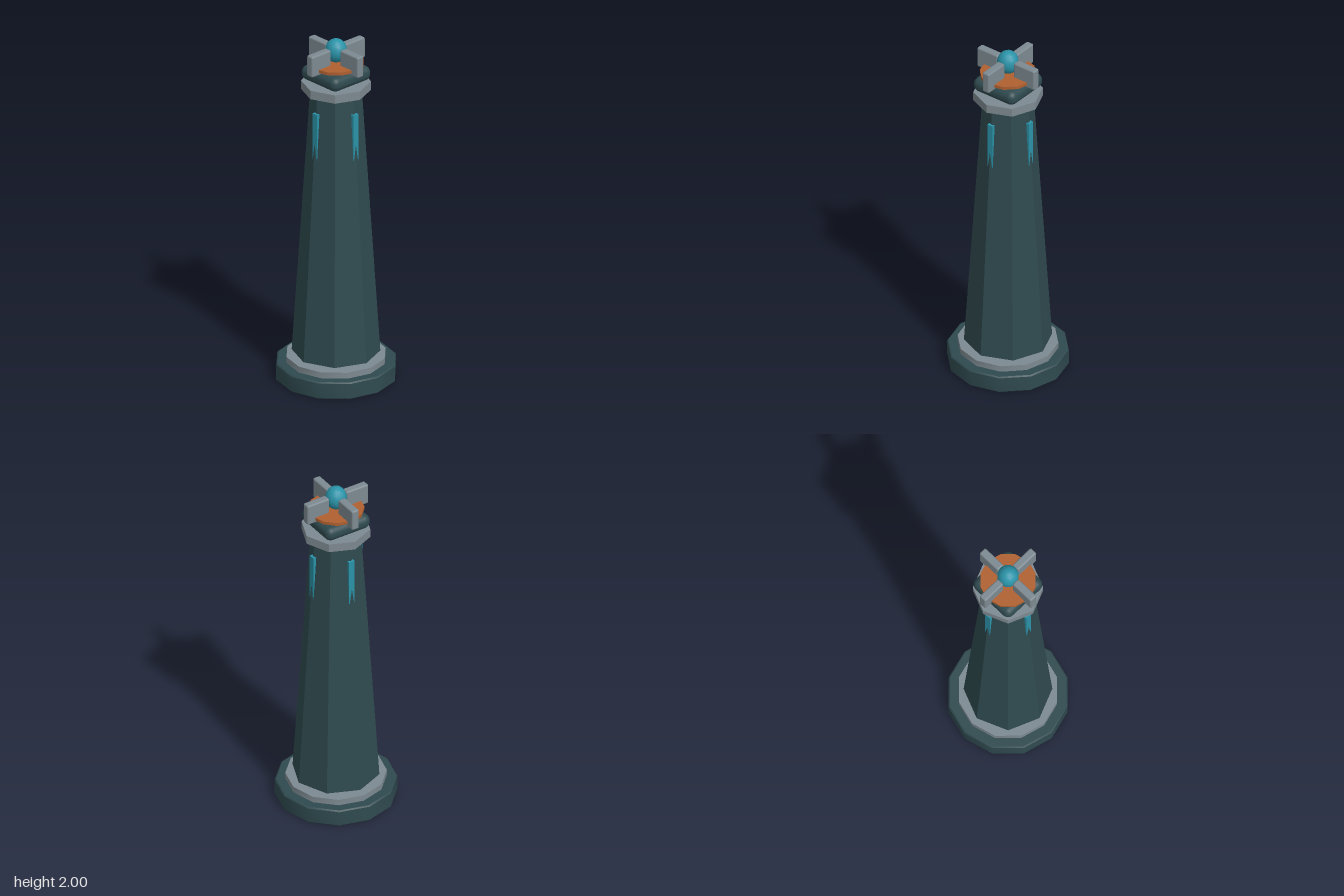
import * as THREE from 'three';
import { toCreasedNormals } from 'three/addons/utils/BufferGeometryUtils.js';
import { RoundedBoxGeometry } from 'three/addons/geometries/RoundedBoxGeometry.js';

const stone = new THREE.MeshStandardMaterial({ color: 0x2f4a4f });
const steel = new THREE.MeshStandardMaterial({ color: 0x7d8a91 });
const copper = new THREE.MeshStandardMaterial({ color: 0xb06030 });
const crystal = new THREE.MeshStandardMaterial({ color: 0x2a93a8 });

export function createModel() {
  const model = new THREE.Group();
  model.name = 'obeliskTower';

  const add = (name, geometry, material, x, y, z, parent = model) => {
    const mesh = new THREE.Mesh(geometry, material);
    mesh.name = name;
    mesh.position.set(x, y, z);
    parent.add(mesh);
    return mesh;
  };

  // Many-sided drum standing between two heights; sharp corners above the crease angle
  const drum = (name, rTop, rBottom, y0, y1, sides, material, crease = 0.6) => {
    const g = new THREE.CylinderGeometry(rTop, rBottom, y1 - y0, sides);
    return add(name, toCreasedNormals(g, crease), material, 0, (y0 + y1) / 2, 0);
  };

  // Plinth with slightly eased rims
  const profile = [[0, 0], [0.325, 0], [0.332, 0.007], [0.332, 0.093], [0.325, 0.1], [0, 0.1]]
    .map(([r, y]) => new THREE.Vector2(r, y));
  add('plinth', toCreasedNormals(new THREE.LatheGeometry(profile, 12), 0.6), stone, 0, 0, 0);

  // Stacked body
  drum('baseRing', 0.275, 0.275, 0.1, 0.135, 12, steel);
  drum('shaft', 0.14, 0.24, 0.15, 1.7, 8, stone, 0.1);
  drum('collar', 0.19, 0.19, 1.7, 1.75, 8, steel, 0.1);
  add('cap', new RoundedBoxGeometry(0.284, 0.084, 0.284, 3, 0.038), stone, 0, 1.799, 0);
  drum('copperDisc', 0.154, 0.154, 1.85, 1.868, 12, copper);

  // Egg-shaped beacon
  const beacon = add('beacon', new THREE.SphereGeometry(0.06, 12, 10), crystal, 0, 1.932, 0);
  beacon.scale.y = 1.13;

  // Four fins round the beacon and four inlaid strips on the shaft
  for (let i = 0; i < 4; i++) {
    const side = new THREE.Group();
    side.name = 'side' + (i + 1);
    side.rotation.y = i * Math.PI / 2;
    add('fin', new RoundedBoxGeometry(0.046, 0.123, 0.142, 2, 0.01), steel, 0, 1.895, 0.126, side);
    add('inlayStrip', new THREE.BoxGeometry(0.036, 0.27, 0.03), crystal, 0, 1.465, 0.143, side);
    model.add(side);
  }
  return model;
}
